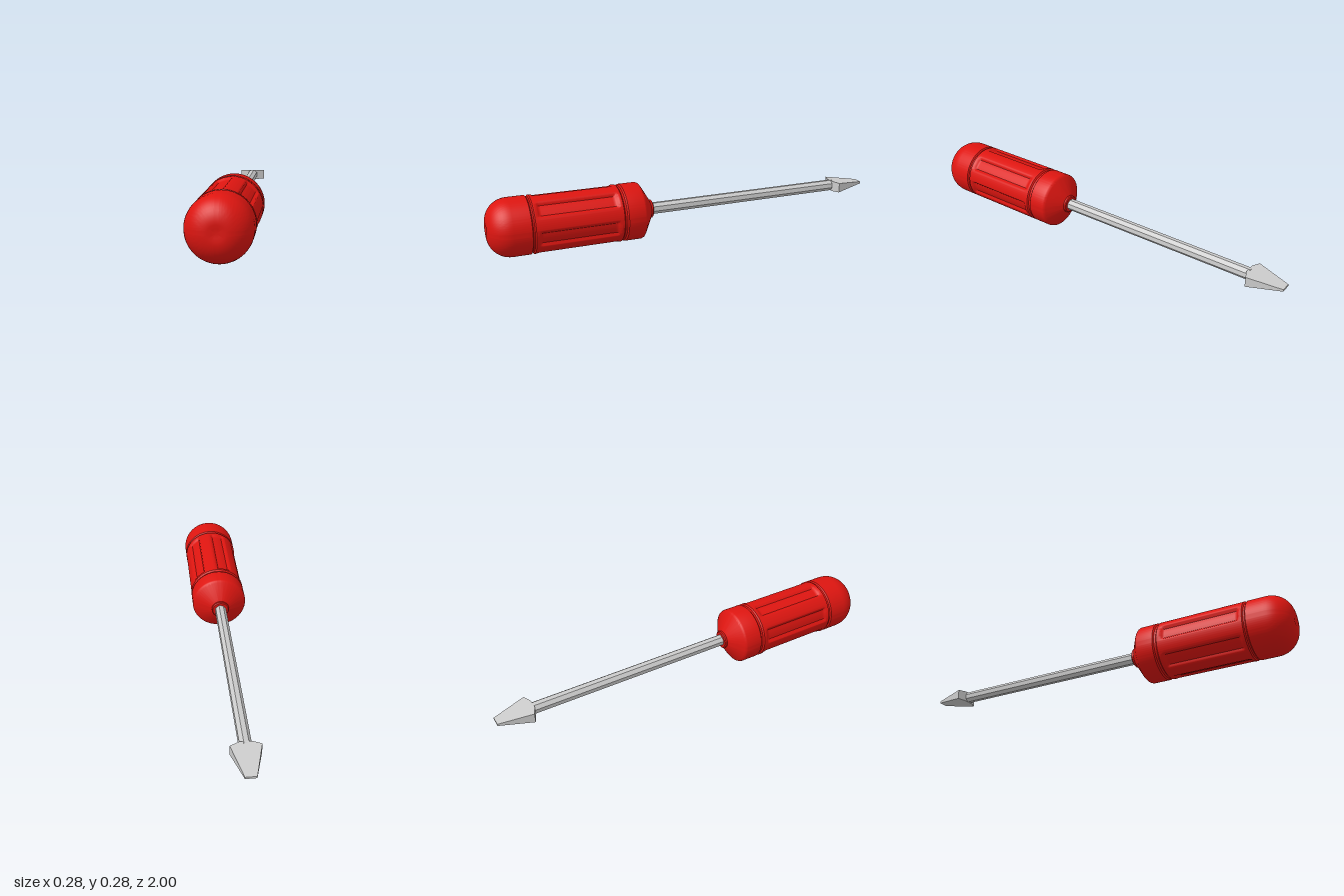
import * as THREE from 'three';
import { mergeVertices, toCreasedNormals } from 'three/addons/utils/BufferGeometryUtils.js';

const AXIS_Y = 0.14; // height of the tool's long axis
const R = 0.139;     // handle radius

// Handle profile as [radius, z], from the collar to the rounded butt
function handleProfile() {
  const p = [
    [0, 0.2], [0.04, 0.2], [0.045, 0.204], [0.045, 0.213], [0.055, 0.218],
    [0.128, 0.262], [0.136, 0.268], [R, 0.276], [R, 0.357],
    [0.132, 0.363], [0.132, 0.373], [R, 0.379],
  ];
  // fluted grip: closely spaced rings
  const rings = 60;
  for (let i = 1; i < rings; i++) p.push([R, 0.379 + (0.415 * i) / rings]);
  p.push([R, 0.794], [0.132, 0.799], [0.132, 0.806], [R, 0.811], [R, 0.893]);
  // rounded butt with a shallow dimple
  for (let i = 1; i <= 12; i++) {
    const a = (i / 12) * Math.PI / 2;
    p.push([0.034 + 0.105 * Math.cos(a), 0.893 + 0.107 * Math.sin(a)]);
  }
  p.push([0.018, 0.998], [0, 0.997]);
  return p.map(([r, z]) => new THREE.Vector2(r, z));
}

// Six flutes pressed into the grip
function fluteDepth(angle, z) {
  const pitch = Math.PI / 3;
  const offset = THREE.MathUtils.degToRad(-14);
  const t = (angle - offset) / pitch;
  const away = THREE.MathUtils.radToDeg(Math.abs(t - Math.round(t)) * pitch);
  const across = 1 - THREE.MathUtils.smoothstep(away, 11.5, 17.5);
  const along = THREE.MathUtils.smoothstep(z, 0.392, 0.412)
    * (1 - THREE.MathUtils.smoothstep(z, 0.765, 0.785));
  return 0.013 * across * along;
}

function handleGeometry() {
  let g = new THREE.LatheGeometry(handleProfile(), 180);
  g.rotateX(Math.PI / 2);
  const pos = g.attributes.position;
  for (let i = 0; i < pos.count; i++) {
    const x = pos.getX(i), y = pos.getY(i), r = Math.hypot(x, y);
    if (r < 0.1) continue;
    const k = 1 - fluteDepth(Math.atan2(y, x), pos.getZ(i)) / r;
    pos.setXY(i, x * k, y * k);
  }
  g.deleteAttribute('normal');
  g.deleteAttribute('uv');
  g = mergeVertices(g, 1e-5);
  return toCreasedNormals(g, 0.6);
}

// Arrow-shaped blade: extruded outline, thinned towards the tip
function bladeGeometry() {
  const half = [[0.027, 0.82], [0.068, 0.838], [0.025, 1]];
  const outline = [...half, ...half.map(([x, y]) => [-x, y]).reverse()];
  const shape = new THREE.Shape(outline.map(([x, y]) => new THREE.Vector2(x, y)));
  const g = new THREE.ExtrudeGeometry(shape, { depth: 2, bevelEnabled: false });
  g.translate(0, 0, -1);
  const pos = g.attributes.position;
  for (let i = 0; i < pos.count; i++) {
    const t = (pos.getY(i) - 0.82) / 0.18;
    pos.setZ(i, pos.getZ(i) * THREE.MathUtils.lerp(0.027, 0.005, t));
  }
  g.rotateX(-Math.PI / 2);
  g.computeVertexNormals();
  return g;
}

export function createModel() {
  const red = new THREE.MeshStandardMaterial({ color: 0xdd1510 });
  const steel = new THREE.MeshStandardMaterial({ color: 0xcccccc, flatShading: true });
  const tool = new THREE.Group();
  tool.name = 'screwdriver';

  const add = (name, geometry, material) => {
    const mesh = new THREE.Mesh(geometry, material);
    mesh.name = name;
    mesh.position.y = AXIS_Y;
    tool.add(mesh);
  };

  add('handle', handleGeometry(), red);

  // eight-sided shaft from inside the collar to the blade
  const shaft = new THREE.CylinderGeometry(0.029, 0.029, 1.05, 8);
  shaft.rotateY(Math.PI / 8 + 0.12);
  shaft.rotateX(Math.PI / 2);
  shaft.translate(0, 0, -0.305);
  add('shaft', shaft, steel);

  add('blade', bladeGeometry(), steel);
  return tool;
}
